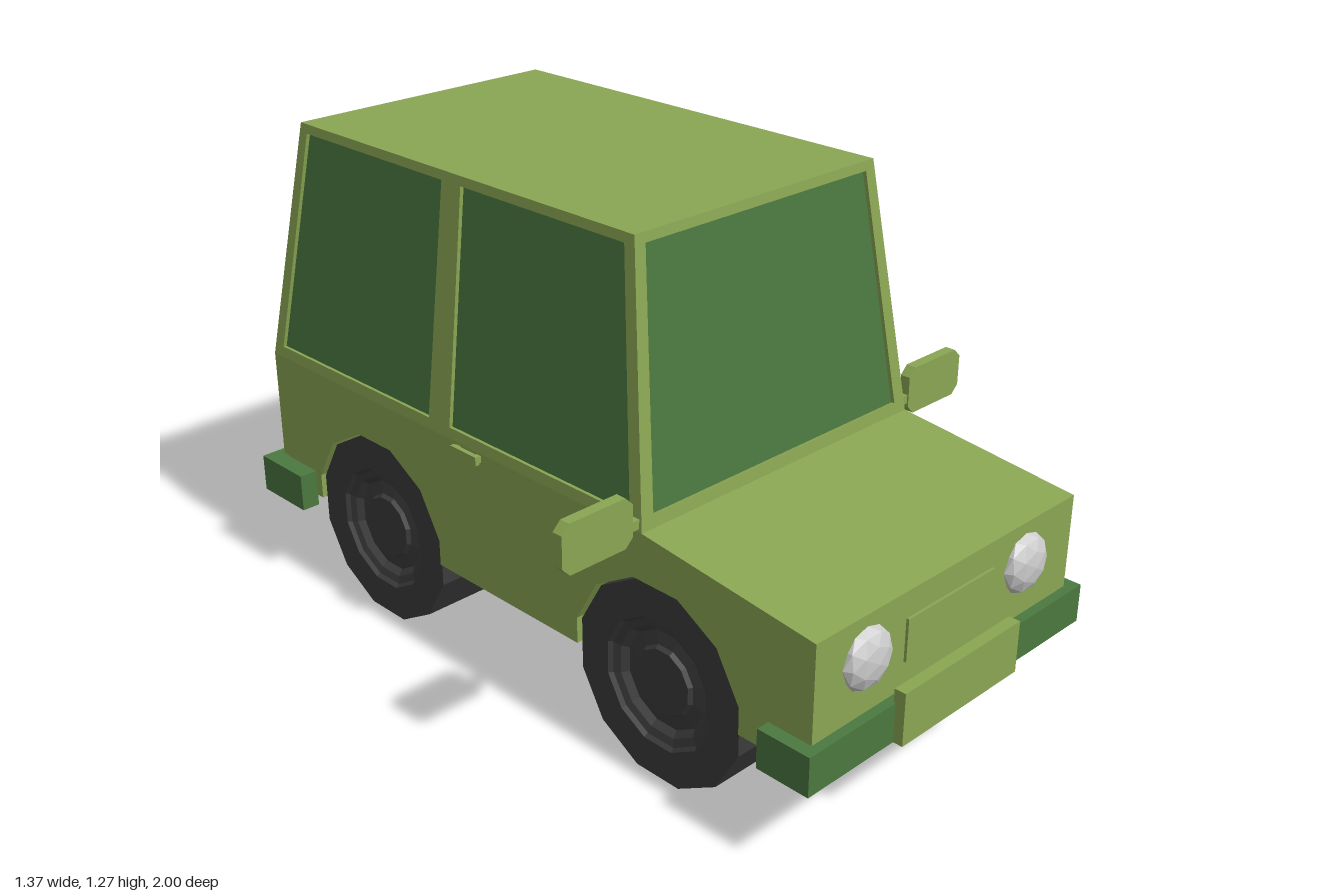
import * as THREE from 'three';

const paint = new THREE.MeshStandardMaterial({ color: 0x8aa653 });
const darkGreen = new THREE.MeshStandardMaterial({ color: 0x4b7840 });
const rubber = new THREE.MeshStandardMaterial({ color: 0x3c3c3c });
const lamp = new THREE.MeshStandardMaterial({ color: 0xcccccc });
paint.name = 'body green';
darkGreen.name = 'dark green';
rubber.name = 'tyre grey';
lamp.name = 'lamp grey';

const AXLE_Y = 0.255, AXLES = [0.49, -0.535];
const V = (x, y, z) => new THREE.Vector3(x, y, z);

function add(parent, name, geometry, material, x = 0, y = 0, z = 0) {
  const mesh = new THREE.Mesh(geometry, material);
  mesh.name = name;
  mesh.position.set(x, y, z);
  parent.add(mesh);
  return mesh;
}

// Box given by its minimum and maximum on each axis
function box(parent, name, material, [x0, x1], [y0, y1], [z0, z1]) {
  return add(parent, name, new THREE.BoxGeometry(x1 - x0, y1 - y0, z1 - z0), material,
    (x0 + x1) / 2, (y0 + y1) / 2, (z0 + z1) / 2);
}

function flat(geometry) {
  const g = geometry.index ? geometry.toNonIndexed() : geometry;
  g.computeVertexNormals();
  return g;
}

const shapeOf = (points) => new THREE.Shape(points.map(([x, y]) => new THREE.Vector2(x, y)));

// Lower body: side profile with faceted wheel arches, extruded across the car
function lowerBodyGeometry() {
  const pts = [[0.95, 0.575], [0.45, 0.63], [-0.965, 0.63], [-0.965, 0.255]];
  for (const z of [...AXLES].reverse()) {
    const r = 0.265;
    pts.push([z - r * Math.cos(Math.PI / 12), 0.255]);
    for (let i = 0; i < 6; i++) {
      const a = Math.PI * (11 - 2 * i) / 12;
      pts.push([z + r * Math.cos(a), AXLE_Y + r * Math.sin(a)]);
    }
    pts.push([z + r * Math.cos(Math.PI / 12), 0.255]);
  }
  pts.push([0.95, 0.255]);
  const g = new THREE.ExtrudeGeometry(shapeOf(pts), { depth: 0.92, bevelEnabled: false });
  return g.translate(0, 0, -0.46).rotateY(-Math.PI / 2);
}

// Flat cabin wall with recessed windows; corners run anticlockwise seen from outside
function wall(parent, name, [bl, br, tr, tl], windows = []) {
  const u = br.clone().sub(bl).normalize();
  const n = u.clone().cross(tl.clone().sub(bl)).normalize();
  const v = n.clone().cross(u);
  const frame = new THREE.Matrix4().makeBasis(u, v, n).setPosition(bl);
  const flatten = (p) => [p.clone().sub(bl).dot(u), p.clone().sub(bl).dot(v)];
  const at = (s, t) => flatten(bl.clone().lerp(br, s).lerp(tl.clone().lerp(tr, s), t));
  const shape = shapeOf([bl, br, tr, tl].map(flatten));
  for (const [s0, s1] of windows) {
    const pane = shapeOf([at(s0, 0.045), at(s1, 0.045), at(s1, 0.963), at(s0, 0.963)]);
    shape.holes.push(pane);
    add(parent, name + 'Window',
      new THREE.ShapeGeometry(pane).translate(0, 0, -0.01).applyMatrix4(frame), darkGreen);
  }
  const g = new THREE.ExtrudeGeometry(shape, { depth: 0.015, bevelEnabled: false });
  add(parent, name, g.translate(0, 0, -0.015).applyMatrix4(frame), paint);
}

function cabin() {
  const g = new THREE.Group();
  g.name = 'cabin';
  const b = (x, z) => V(x * 0.46, 0.63, z > 0 ? 0.45 : -0.965);
  const t = (x, z) => V(x * 0.392, 1.275, z > 0 ? 0.36 : -0.85);
  wall(g, 'front', [b(-1, 1), b(1, 1), t(1, 1), t(-1, 1)], [[0.04, 0.96]]);
  wall(g, 'rear', [b(1, -1), b(-1, -1), t(-1, -1), t(1, -1)], [[0.06, 0.94]]);
  wall(g, 'rightSide', [b(-1, -1), b(-1, 1), t(-1, 1), t(-1, -1)], [[0.025, 0.471], [0.528, 0.974]]);
  wall(g, 'leftSide', [b(1, 1), b(1, -1), t(1, -1), t(1, 1)], [[0.026, 0.472], [0.529, 0.975]]);
  wall(g, 'roof', [t(-1, 1), t(1, 1), t(1, -1), t(-1, -1)]);
  return g;
}

// U-shaped bumper wrapping around the body corners
function bumper(parent, name, w, outer, inner, y0, y1) {
  const s = Math.sign(outer), face = outer - s * 0.05;
  const g = shapeOf([[-w, inner], [-w, outer], [w, outer], [w, inner],
    [w - 0.05, inner], [w - 0.05, face], [-w + 0.05, face], [-w + 0.05, inner]]);
  const geo = new THREE.ExtrudeGeometry(g, { depth: y1 - y0, bevelEnabled: false });
  add(parent, name, geo.rotateX(Math.PI / 2).translate(0, y1, 0), darkGreen);
}

// Tyre and stepped hub in one profile, the same on both faces
function wheelGeometry() {
  const half = [[0, 0.085], [0.083, 0.085], [0.09, 0.075], [0.125, 0.07], [0.14, 0.085],
    [0.16, 0.09], [0.168, 0.1], [0.258, 0.1]];
  const profile = [...half.map(([r, y]) => [r, -y]), ...half.reverse()];
  const g = new THREE.LatheGeometry(profile.map(([r, y]) => new THREE.Vector2(r, y)),
    12, Math.PI / 12);
  return flat(g.rotateZ(-Math.PI / 2));
}

function chamferedPlate(w, h, c, depth) {
  const pts = [[-w + c, -h], [w - c, -h], [w, -h + c], [w, h - c],
    [w - c, h], [-w + c, h], [-w, h - c], [-w, -h + c]];
  return new THREE.ExtrudeGeometry(shapeOf(pts), { depth, bevelEnabled: false })
    .translate(0, 0, -depth / 2);
}

export function createModel() {
  const car = new THREE.Group();
  car.name = 'car';
  add(car, 'lowerBody', lowerBodyGeometry(), paint);
  car.add(cabin());

  // Bumpers and plates
  bumper(car, 'frontBumper', 0.495, 0.975, 0.83, 0.23, 0.33);
  bumper(car, 'rearBumper', 0.513, -0.99, -0.81, 0.228, 0.33);
  box(car, 'frontPlate', paint, [-0.215, 0.203], [0.23, 0.365], [0.97, 1]);
  box(car, 'rearPlate', paint, [-0.21, 0.21], [0.225, 0.365], [-1, -0.985]);
  box(car, 'grille', paint, [-0.163, 0.147], [0.4, 0.508], [0.945, 0.957]);
  box(car, 'bootHandle', lamp, [-0.135, 0.135], [0.4, 0.445], [-0.975, -0.96]);

  // Wheels and axles
  const wheel = wheelGeometry();
  for (const z of AXLES) {
    const axle = new THREE.CylinderGeometry(0.082, 0.082, 0.56, 12).rotateZ(Math.PI / 2);
    add(car, 'axle', flat(axle), rubber, 0, AXLE_Y, z);
    for (const x of [-0.35, 0.35]) add(car, 'wheel', wheel, rubber, x, AXLE_Y, z);
  }

  // Paired details
  for (const s of [1, -1]) {
    const light = add(car, 'headlight', flat(new THREE.IcosahedronGeometry(0.076, 1)
      .scale(1, 1, 0.5)), lamp, s * 0.283, 0.47, 0.95);
    light.position.x = s < 0 ? -0.296 : 0.272;
    box(car, 'rearLight', lamp, [s * 0.33 - 0.075, s * 0.33 + 0.075], [0.465, 0.55], [-0.97, -0.96]);
    box(car, 'doorHandle', paint, [s * 0.473 - 0.006, s * 0.473 + 0.006], [0.605, 0.628], [-0.19, -0.095]);
    for (const z of [-0.105, -0.18]) {
      box(car, 'handleMount', paint, [s * 0.463 - 0.008, s * 0.463 + 0.008], [0.608, 0.625], [z - 0.008, z + 0.008]);
    }
    box(car, 'mirrorStem', paint, [s * 0.465 - 0.025, s * 0.465 + 0.025], [0.637, 0.66], [0.42, 0.44]);
    add(car, 'mirror', chamferedPlate(0.103, 0.062, 0.022, 0.028), paint, s * 0.583, 0.668, 0.43);
    add(car, 'mirrorGlass', chamferedPlate(0.088, 0.048, 0.018, 0.004), darkGreen, s * 0.583, 0.668, 0.415);
  }
  return car;
}
